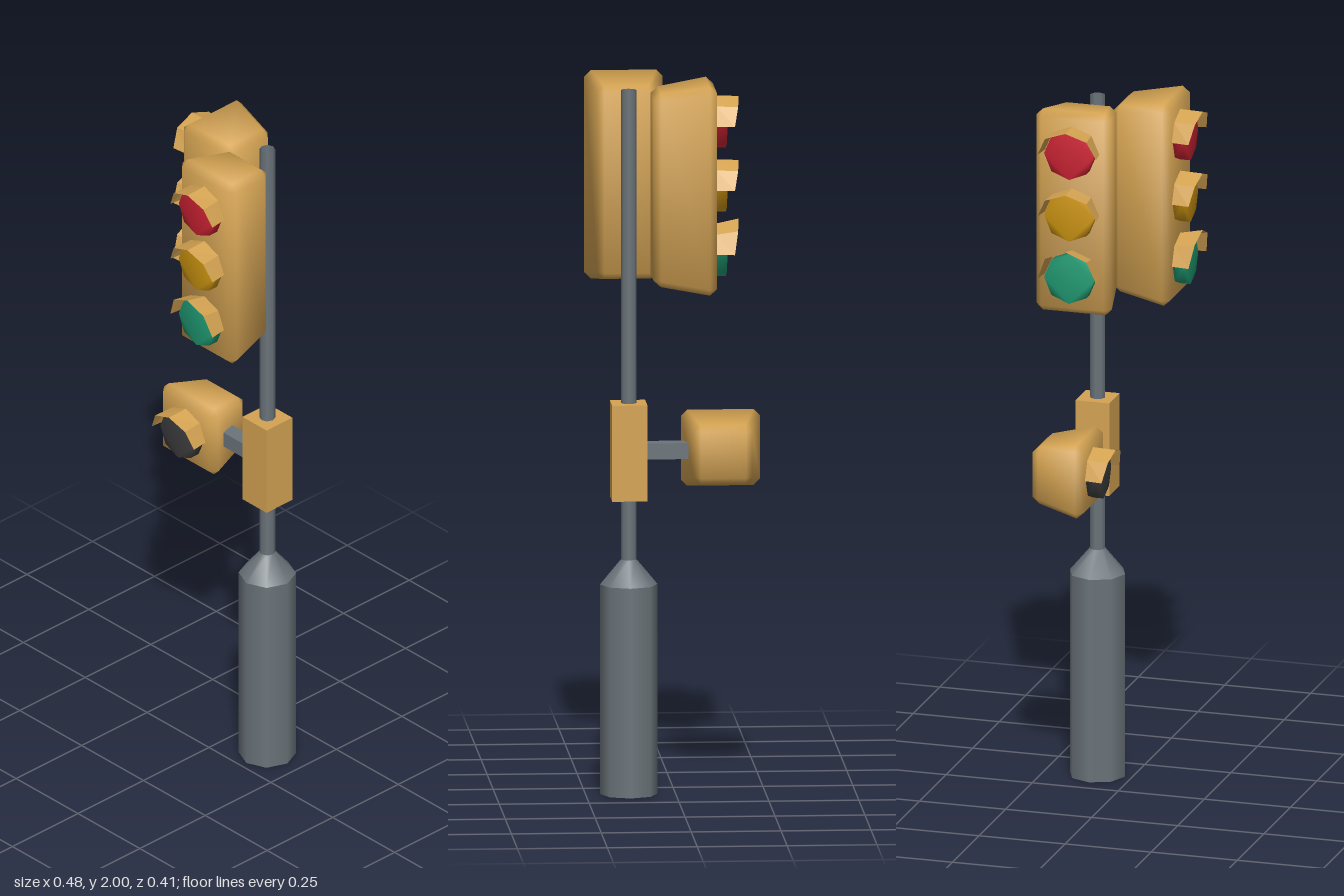
import * as THREE from 'three';
import { mergeVertices } from 'three/addons/utils/BufferGeometryUtils.js';

const mat = (name, color) => Object.assign(new THREE.MeshStandardMaterial({ color, side: THREE.DoubleSide }), { name });

// Tapered box with one bevel; sections run from back to front as [z, halfWidth, halfHeight]
function housingGeometry(backZ, frontZ, back, front) {
  const b = 0.018, pos = [], nor = [], idx = [];
  const ring = (z, [w, h], cap) => {
    for (const [sx, sy, flip] of [[1, 1, 0], [-1, 1, 1], [-1, -1, 0], [1, -1, 1]]) {
      for (let k = 0; k < 2; k++) {
        const onSide = (k === 0) !== (flip === 1);
        const x = cap || !onSide ? w - b : w;
        const y = cap || onSide ? h - b : h;
        pos.push(sx * x, sy * y, z);
        const sz = z > (backZ + frontZ) / 2 ? 1 : -1;
        const n = cap ? [0.34, 0.34, 0.87] : onSide ? [0.87, 0.34, 0.34] : [0.34, 0.87, 0.34];
        nor.push(sx * n[0], sy * n[1], sz * n[2]);
      }
    }
  };
  ring(backZ, back, true);
  ring(backZ + 0.02, back, false);
  ring(frontZ - 0.02, front, false);
  ring(frontZ, front, true);
  for (let r = 0; r < 3; r++) {
    for (let i = 0; i < 8; i++) {
      const a = r * 8 + i, c = r * 8 + (i + 1) % 8;
      idx.push(a, c, c + 8, a, c + 8, a + 8);
    }
  }
  idx.push(0, 4, 2, 0, 6, 4, 24, 26, 28, 24, 28, 30);
  const g = new THREE.BufferGeometry();
  g.setAttribute('position', new THREE.Float32BufferAttribute(pos, 3));
  g.setAttribute('normal', new THREE.Float32BufferAttribute(nor, 3));
  g.setIndex(idx);
  return g;
}

// Eight-sided lens with softened edges
function lensGeometry() {
  const pts = [];
  for (let i = 0; i < 8; i++) {
    const a = i * Math.PI / 4;
    pts.push(new THREE.Vector2(0.072 * Math.cos(a), 0.072 * Math.sin(a)));
  }
  let g = new THREE.ExtrudeGeometry(new THREE.Shape(pts), { depth: 0.03, bevelEnabled: false });
  g.deleteAttribute('uv');
  g.deleteAttribute('normal');
  g = mergeVertices(g, 1e-4);
  g.computeVertexNormals();
  return g;
}

// Half hood over a lens, slightly flared towards its front edge
function visorGeometry(rise) {
  const pos = [], idx = [];
  for (let i = 0; i <= 4; i++) {
    const a = i * Math.PI / 4, c = Math.cos(a), s = Math.sin(a);
    pos.push(0.079 * c, 0.075 * s, 0, 0.085 * c, 0.073 * s + rise * s, 0.05 + 0.015 * s);
    if (i < 4) idx.push(2 * i, 2 * i + 1, 2 * i + 3, 2 * i, 2 * i + 3, 2 * i + 2);
  }
  const g = new THREE.BufferGeometry();
  g.setAttribute('position', new THREE.Float32BufferAttribute(pos, 3));
  g.setIndex(idx);
  const flat = g.toNonIndexed();
  flat.computeVertexNormals();
  return flat;
}

export function createModel() {
  const model = new THREE.Group();
  model.name = 'trafficLight';
  const tan = mat('tanHousing', 0xd4a352);
  const grey = mat('greyMetal', 0x6b747a);
  const red = mat('redLens', 0xcc2233);
  const amber = mat('amberLens', 0xcc9410);
  const green = mat('greenLens', 0x1f9a72);
  const black = mat('blackLens', 0x3e3e40);

  const add = (parent, name, geo, material, x = 0, y = 0, z = 0) => {
    const m = new THREE.Mesh(geo, material);
    m.name = name;
    m.position.set(x, y, z);
    parent.add(m);
    return m;
  };
  const lamp = (parent, name, material, y, z, rise) => {
    const g = new THREE.Group();
    g.name = name;
    g.position.set(0, y, z);
    add(g, 'lens', lensGeometry(), material);
    add(g, 'visor', visorGeometry(rise), tan);
    parent.add(g);
  };

  // Post: wide base, taper and thin open pole
  const px = 0.13, pz = -0.1;
  const tube = (name, rTop, rBottom, y0, y1) =>
    add(model, name, new THREE.CylinderGeometry(rTop, rBottom, y1 - y0, 8, 1, true), grey, px, (y0 + y1) / 2, pz);
  tube('base', 0.08, 0.08, 0, 0.59);
  tube('baseTaper', 0.022, 0.08, 0.59, 0.66);
  tube('pole', 0.022, 0.022, 0.66, 1.98);

  // Control box and side arm
  add(model, 'controlBox', new THREE.BoxGeometry(0.098, 0.27, 0.098), tan, px, 0.965, pz);
  add(model, 'arm', new THREE.BoxGeometry(0.17, 0.045, 0.045), grey, 0.02, 0.966, pz);

  // Two three-lamp signals around the pole, facing front and right
  for (const [name, turn] of [['frontSignal', 0], ['sideSignal', -Math.PI / 2]]) {
    const signal = new THREE.Group();
    signal.name = name;
    signal.position.set(px, 1.707, pz);
    signal.rotation.y = turn;
    add(signal, 'housing', housingGeometry(0.065, 0.24, [0.081, 0.272], [0.109, 0.293]), tan);
    lamp(signal, 'redLamp', red, 0.18, 0.24, 0);
    lamp(signal, 'amberLamp', amber, 0, 0.24, 0);
    lamp(signal, 'greenLamp', green, -0.181, 0.24, 0.016);
    model.add(signal);
  }

  // Single-lamp crossing signal
  const crossing = new THREE.Group();
  crossing.name = 'crossingSignal';
  crossing.position.set(-0.128, 0.964, pz);
  add(crossing, 'housing', housingGeometry(-0.09, 0.067, [0.081, 0.083], [0.11, 0.107]), tan);
  lamp(crossing, 'blackLamp', black, 0, 0.067, 0);
  model.add(crossing);

  return model;
}
